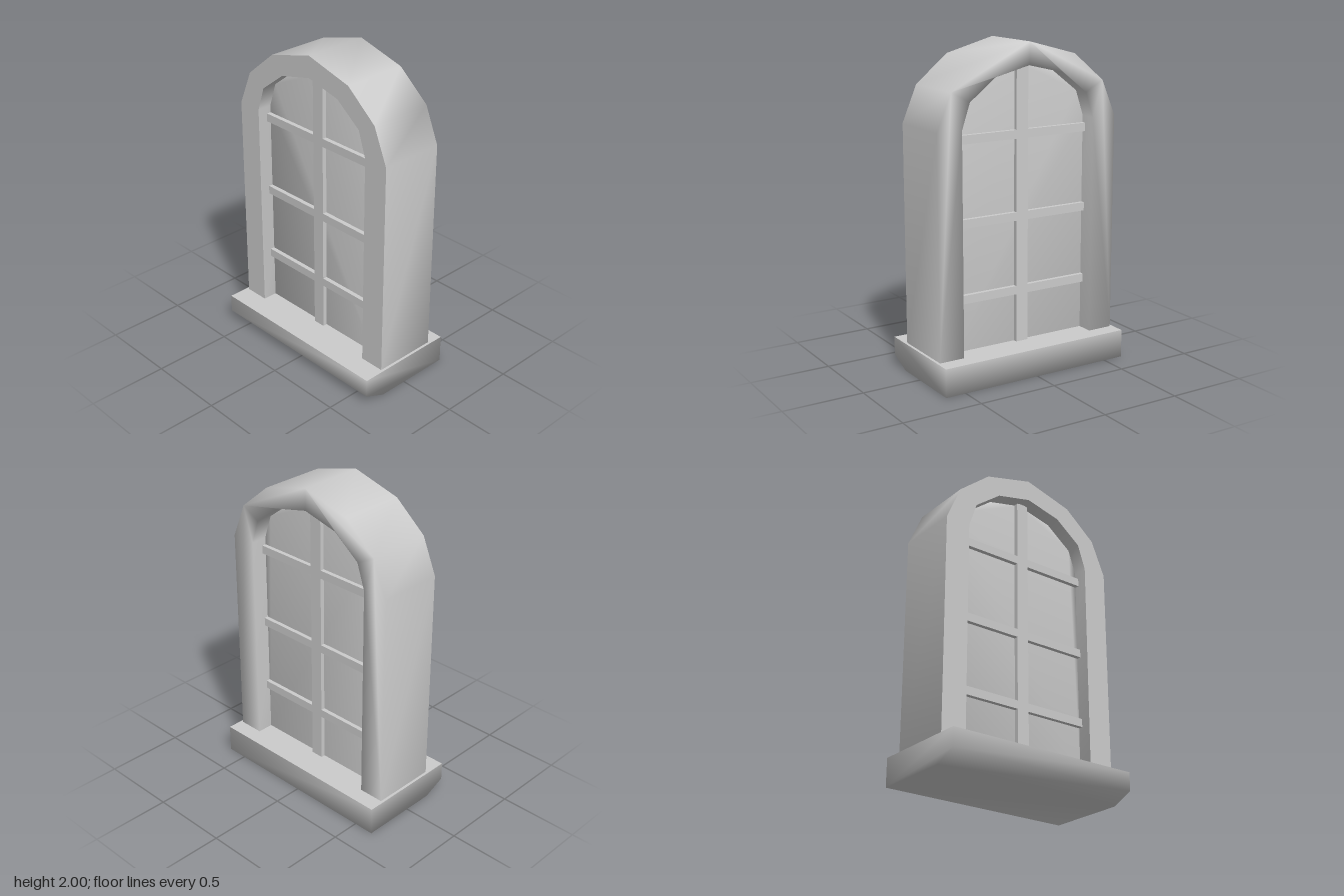
import * as THREE from 'three';
import { mergeVertices, mergeGeometries } from 'three/addons/utils/BufferGeometryUtils.js';

const material = new THREE.MeshStandardMaterial({ color: 0xcccccc });

const SILL_TOP = 0.175;
const OUTER = [[0.613, 1.525], [0.52, 1.745], [0.315, 1.915], [0, 2]];
const INNER = [[0.452, 1.525], [0.4, 1.68], [0.23, 1.81], [0, 1.865]];

// Full arch from bottom right over the top to bottom left
function arch(half) {
  const right = [[half[0][0], SILL_TOP], ...half];
  const left = right.slice(0, -1).reverse().map(([x, y]) => [-x, y]);
  return [...right, ...left].map(([x, y]) => new THREE.Vector2(x, y));
}

function extrude(points, from, to) {
  const geo = new THREE.ExtrudeGeometry(new THREE.Shape(points), { depth: to - from, bevelEnabled: false });
  return geo.translate(0, 0, from);
}

// Smooth the whole surface, except faces pointing along flatDir, which stay flat
function soften(geo, flatDir) {
  const src = (geo.index ? geo.toNonIndexed() : geo).attributes.position;
  const flat = [], smooth = [];
  const tri = new THREE.Triangle(), n = new THREE.Vector3();
  for (let i = 0; i < src.count; i += 3) {
    tri.setFromAttributeAndIndices(src, i, i + 1, i + 2);
    const isFlat = flatDir && tri.getNormal(n).dot(flatDir) > 0.95;
    for (const p of [tri.a, tri.b, tri.c]) (isFlat ? flat : smooth).push(p.x, p.y, p.z);
  }
  const parts = [flat, smooth].filter((list) => list.length).map((list) => {
    const part = new THREE.BufferGeometry();
    part.setAttribute('position', new THREE.Float32BufferAttribute(list, 3));
    const merged = mergeVertices(part, 1e-4);
    merged.computeVertexNormals();
    return merged;
  });
  return mergeGeometries(parts);
}

function add(parent, name, geo) {
  const mesh = new THREE.Mesh(geo, material);
  mesh.name = name;
  parent.add(mesh);
  return mesh;
}

export function createModel() {
  const model = new THREE.Group();
  model.name = 'archedWindow';

  // Sill: side profile (z, y) with a chamfered lower front edge, swept along x
  const profile = [[-0.325, 0], [0.185, 0], [0.325, 0.06], [0.325, SILL_TOP], [-0.325, SILL_TOP]]
    .map(([z, y]) => new THREE.Vector2(z, y));
  const sill = extrude(profile, -0.63, 0.63).rotateY(-Math.PI / 2);
  add(model, 'sill', soften(sill, new THREE.Vector3(0, 1, 0)));

  // Arched frame, open at the bottom where it meets the sill
  const frame = extrude([...arch(OUTER), ...arch(INNER).reverse()], -0.225, 0.187);
  add(model, 'frame', soften(frame, new THREE.Vector3(0, 0, 1)));

  // Thick pane filling the opening
  add(model, 'pane', soften(extrude(arch(INNER), -0.122, 0.094)));

  // Glazing bars, standing proud of the pane on both sides
  const bars = new THREE.Group();
  bars.name = 'glazingBars';
  model.add(bars);
  const depth = 0.27, barZ = -0.013;
  const height = 1.86 - SILL_TOP;
  add(bars, 'uprightBar', new THREE.BoxGeometry(0.08, height, depth))
    .position.set(0, SILL_TOP + height / 2, barZ);
  for (const y of [0.502, 0.96, 1.455]) {
    for (const side of [-1, 1]) {
      add(bars, 'crossBar', new THREE.BoxGeometry(0.414, 0.052, depth))
        .position.set(side * 0.247, y, barZ);
    }
  }
  return model;
}
